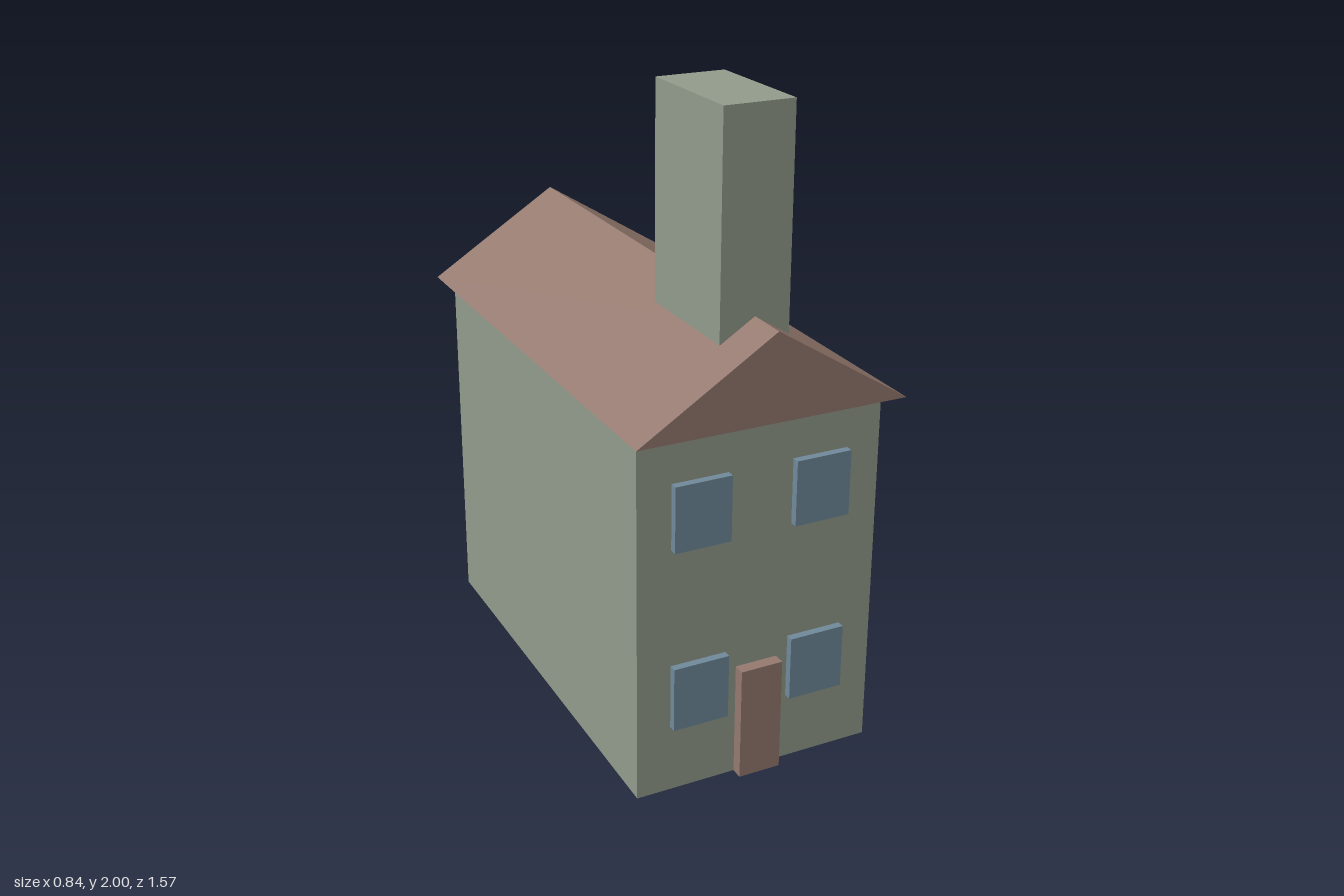
import * as THREE from 'three';

const mat = (name, color) => {
  const m = new THREE.MeshStandardMaterial({ color });
  m.name = name;
  return m;
};

export function createModel() {
  const house = new THREE.Group();
  house.name = 'house';
  const wall = mat('sage wall', 0x929c8c);
  const clay = mat('clay brown', 0x957a70);
  const glass = mat('window blue', 0x708a9b);

  // Box given by its lower and upper corners
  const block = (name, material, [x0, y0, z0], [x1, y1, z1]) => {
    const mesh = new THREE.Mesh(new THREE.BoxGeometry(x1 - x0, y1 - y0, z1 - z0), material);
    mesh.position.set((x0 + x1) / 2, (y0 + y1) / 2, (z0 + z1) / 2);
    mesh.name = name;
    house.add(mesh);
  };

  // Walls, chimney through the ridge, front door
  block('walls', wall, [-0.385, 0, -0.713], [0.385, 1.147, 0.713]);
  block('chimney', wall, [-0.108, 1.2, 0.259], [0.108, 2, 0.656]);
  block('door', clay, [-0.067, 0, 0.7], [0.067, 0.36, 0.75]);

  // Solid gable roof
  const gable = new THREE.Shape([
    new THREE.Vector2(-0.42, 1.147),
    new THREE.Vector2(0.42, 1.147),
    new THREE.Vector2(0, 1.412),
  ]);
  const roofGeometry = new THREE.ExtrudeGeometry(gable, { depth: 1.574, bevelEnabled: false });
  roofGeometry.translate(0, 0, -0.787);
  const roof = new THREE.Mesh(roofGeometry, clay);
  roof.name = 'roof';
  house.add(roof);

  // Four raised windows on the front and four on the back
  for (const [end, z0, z1] of [['front', 0.7, 0.737], ['back', -0.737, -0.7]]) {
    for (const [level, y] of [['Lower', 0.215], ['Upper', 0.788]]) {
      for (const [side, x] of [['Left', 0.103], ['Right', -0.279]]) {
        block(`${end}${level}${side}Window`, glass, [x, y, z0], [x + 0.176, y + 0.203, z1]);
      }
    }
  }
  return house;
}
